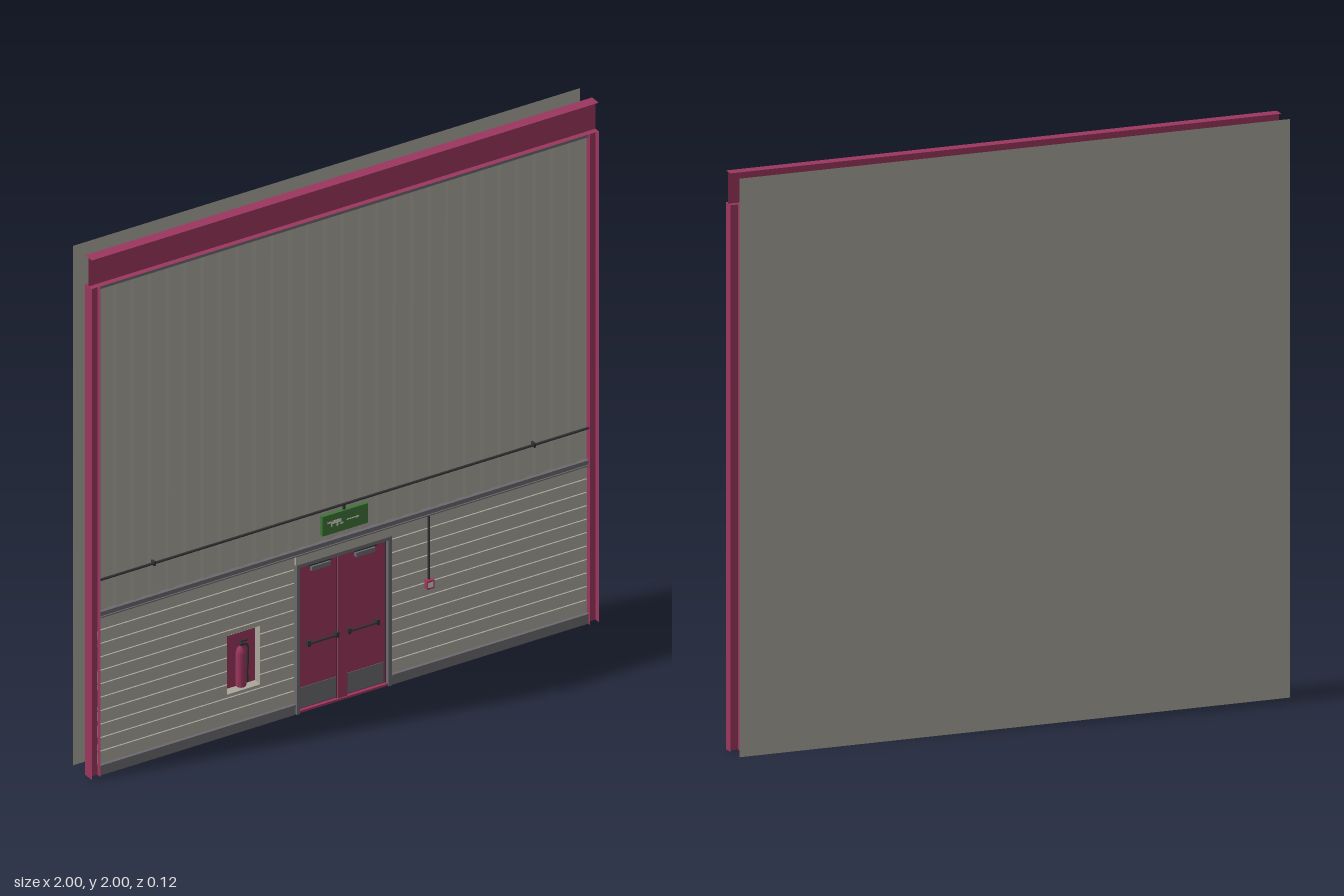
import * as THREE from 'three';

function mat(name, color, double = false) {
  const m = new THREE.MeshStandardMaterial({ color });
  m.name = name;
  if (double) m.side = THREE.DoubleSide;
  return m;
}

export function createModel() {
  const root = new THREE.Group();
  root.name = 'industrialWall';
  const red = mat('crimsonPaint', 0x9c365e, true);
  const beige = mat('beigeCladding', 0xaba79d, true);
  const grey = mat('greyTrim', 0x6b696e);
  const dark = mat('darkMetal', 0x333336);
  const green = mat('signGreen', 0x3f7438);
  const pale = mat('paleMark', 0xd2d0c4);

  const add = (parent, name, geo, material) => {
    const m = new THREE.Mesh(geo, material);
    m.name = name;
    parent.add(m);
    return m;
  };
  // box given by its limits on each axis
  const box = (parent, name, material, x0, x1, y0, y1, z0, z1) => {
    const m = add(parent, name, new THREE.BoxGeometry(x1 - x0, y1 - y0, z1 - z0), material);
    m.position.set((x0 + x1) / 2, (y0 + y1) / 2, (z0 + z1) / 2);
    return m;
  };
  const sheet = (parent, name, material, w, h, pos, rx = 0, ry = 0) => {
    const m = add(parent, name, new THREE.PlaneGeometry(w, h), material);
    m.position.set(...pos);
    m.rotation.set(rx, ry, 0);
    return m;
  };
  const rod = (parent, name, material, r, len, x, y, z, horizontal = false) => {
    const m = add(parent, name, new THREE.CylinderGeometry(r, r, len, 12), material);
    m.position.set(x, y, z);
    if (horizontal) m.rotation.z = Math.PI / 2;
    return m;
  };
  const group = (name) => {
    const g = new THREE.Group();
    g.name = name;
    root.add(g);
    return g;
  };

  // outer skin behind the frame
  sheet(root, 'outerSkin', beige, 2, 2, [0, 1, -0.059]);

  // steel frame: I-section beam and H-section columns of thin sheet
  const frame = group('steelFrame');
  const zc = 0.037, depth = 0.042;
  sheet(frame, 'beamWeb', red, 2, 0.11, [0, 1.945, zc]);
  for (const y of [1.89, 2]) sheet(frame, 'beamFlange', red, 2, depth, [0, y, zc], -Math.PI / 2);
  for (const s of [-1, 1]) {
    sheet(frame, 'columnWeb', red, 0.035, 1.89, [s * 0.9825, 0.945, zc]);
    for (const x of [0.965, 1]) sheet(frame, 'columnFlange', red, depth, 1.89, [s * x, 0.945, zc], 0, Math.PI / 2);
  }

  // corrugated upper cladding
  const ribs = 28;
  const cladding = new THREE.PlaneGeometry(1.93, 1.265, ribs * 8, 1);
  const p = cladding.attributes.position;
  for (let i = 0; i < p.count; i++) p.setZ(i, 0.003 * Math.sin((p.getX(i) / 1.93) * ribs * Math.PI * 2));
  cladding.computeVertexNormals();
  add(root, 'corrugatedCladding', cladding, beige).position.set(0, 1.2525, 0.036);

  // horizontal planks, cut around the door and the niche
  const planks = group('plankCladding');
  const niche = { x0: -0.455, x1: -0.325, y0: 0.155, y1: 0.38 };
  const rows = 11, y0 = 0.04, step = 0.57 / rows;
  const strip = (name, material, x0, x1, a, b, z0, z1) => {
    if (b > a) box(planks, name, material, x0, x1, a, b, z0, z1);
  };
  const spans = [[-0.965, niche.x0], [niche.x1, -0.19], [0.19, 0.965]];
  for (const [a, b] of spans) strip('backing', beige, a, b, 0, 0.61, 0.026, 0.034);
  strip('backing', beige, niche.x0, niche.x1, 0, niche.y0, 0.026, 0.034);
  strip('backing', beige, niche.x0, niche.x1, niche.y1, 0.61, 0.026, 0.034);
  for (let i = 0; i < rows; i++) {
    const a = y0 + i * step, b = a + step - 0.005;
    for (const [l, r] of spans) strip('plank', beige, l, r, a, b, 0.034, 0.04);
    strip('plank', beige, niche.x0, niche.x1, a, Math.min(b, niche.y0), 0.034, 0.04);
    strip('plank', beige, niche.x0, niche.x1, Math.max(a, niche.y1), b, 0.034, 0.04);
  }

  // grey rails and skirting
  box(root, 'topRail', grey, -0.965, 0.965, 1.873, 1.888, 0.028, 0.048);
  box(root, 'middleRail', grey, -0.965, 0.965, 0.61, 0.63, 0.028, 0.05);
  box(root, 'railLip', grey, -0.965, 0.965, 0.61, 0.614, 0.05, 0.055);
  for (const [a, b] of [[-0.965, -0.19], [0.19, 0.965]]) {
    box(root, 'skirting', grey, a, b, 0, 0.036, 0.024, 0.048);
    box(root, 'skirtingLip', grey, a, b, 0.034, 0.04, 0.026, 0.052);
  }

  // pipe across the wall with its clips
  rod(root, 'pipe', dark, 0.0045, 1.93, 0, 0.755, 0.05, true);
  for (const x of [-0.75, 0.75]) box(root, 'pipeClip', dark, x - 0.004, x + 0.004, 0.747, 0.763, 0.036, 0.056);

  // exit sign
  const sign = group('exitSign');
  box(sign, 'signHanger', dark, -0.004, 0.004, 0.73, 0.755, 0.046, 0.052);
  box(sign, 'signBox', green, -0.09, 0.09, 0.66, 0.735, 0.042, 0.058);
  const mark = (a, b, c, d) => box(sign, 'signMark', pale, a, b, c, d, 0.058, 0.0588);
  mark(-0.07, -0.052, 0.702, 0.708);
  mark(-0.056, -0.05, 0.688, 0.706);
  mark(-0.05, -0.015, 0.697, 0.71);
  mark(-0.035, -0.028, 0.685, 0.697);
  mark(-0.018, -0.008, 0.688, 0.694);
  mark(0.005, 0.045, 0.696, 0.7);
  const tip = add(sign, 'arrowTip', new THREE.CylinderGeometry(0.008, 0.008, 0.0008, 3), pale);
  tip.rotation.set(Math.PI / 2, Math.PI / 2, 0);
  tip.position.set(0.048, 0.698, 0.0584);

  // double door
  const door = group('doubleDoor');
  box(door, 'headPanel', beige, -0.19, 0.19, 0.575, 0.61, 0.026, 0.052);
  box(door, 'frameHead', grey, -0.187, 0.187, 0.562, 0.575, 0.018, 0.052);
  box(door, 'threshold', red, -0.175, 0.175, 0, 0.008, 0.02, 0.046);
  box(door, 'mullion', red, -0.018, 0.018, 0.008, 0.562, 0.022, 0.042);
  for (const s of [-1, 1]) {
    const part = (name, m, a, b, c, d, e, f) => box(door, name, m, Math.min(s * a, s * b), Math.max(s * a, s * b), c, d, e, f);
    part('frameJamb', grey, 0.175, 0.187, 0, 0.562, 0.018, 0.052);
    part('doorLeaf', red, 0.021, 0.172, 0.008, 0.56, 0.024, 0.034);
    part('leafGap', dark, 0.018, 0.021, 0.008, 0.562, 0.024, 0.036);
    part('leafGap', dark, 0.172, 0.175, 0.008, 0.562, 0.024, 0.036);
    part('kickPlate', grey, 0.023, 0.165, 0.012, 0.09, 0.034, 0.036);
    part('closer', grey, 0.05, 0.125, 0.533, 0.55, 0.034, 0.048);
    part('closerArm', dark, 0.045, 0.135, 0.552, 0.557, 0.034, 0.044);
    rod(door, 'panicBar', dark, 0.004, 0.115, s * 0.08, 0.257, 0.047, true);
    for (const x of [0.024, 0.136]) part('barMount', dark, x - 0.006, x + 0.006, 0.247, 0.267, 0.034, 0.05);
  }

  // recessed niche
  const recess = group('extinguisherNiche');
  const { x0: nl, x1: nr, y0: nb, y1: nt } = niche;
  box(recess, 'nicheCasing', beige, nl, nr, nb, nt, 0.001, 0.005);
  box(recess, 'nicheBack', red, nl, nr, nb, nt, 0.005, 0.007);
  for (const x of [nl, nr]) sheet(recess, 'nicheSide', beige, 0.037, nt - nb, [x, (nb + nt) / 2, 0.0225], 0, Math.PI / 2);
  for (const y of [nb, nt]) sheet(recess, 'nicheEnd', beige, nr - nl, 0.037, [(nl + nr) / 2, y, 0.0225], -Math.PI / 2);

  // fire extinguisher
  const ext = group('fireExtinguisher');
  const profile = [[0, 0], [0.017, 0], [0.018, 0.004], [0.018, 0.125], [0.014, 0.142], [0.006, 0.15], [0.006, 0.158], [0, 0.158]]
    .map(([x, y]) => new THREE.Vector2(x, y));
  add(ext, 'bottle', new THREE.LatheGeometry(profile, 20), red).position.set(-0.392, 0.165, 0.027);
  box(ext, 'valve', dark, -0.398, -0.382, 0.32, 0.329, 0.021, 0.033);
  box(ext, 'handle', dark, -0.393, -0.368, 0.332, 0.337, 0.024, 0.03);
  const hose = new THREE.CatmullRomCurve3([[-0.385, 0.325], [-0.37, 0.318], [-0.367, 0.27], [-0.371, 0.2]]
    .map(([x, y]) => new THREE.Vector3(x, y, 0.03)));
  add(ext, 'hose', new THREE.TubeGeometry(hose, 16, 0.004, 8), dark);
  rod(ext, 'nozzle', dark, 0.005, 0.03, -0.371, 0.19, 0.03);

  // alarm call point with conduit
  const alarm = group('callPoint');
  rod(alarm, 'conduit', dark, 0.004, 0.252, 0.338, 0.484, 0.045);
  box(alarm, 'callBox', red, 0.324, 0.352, 0.329, 0.361, 0.04, 0.058);
  box(alarm, 'callPlate', pale, 0.329, 0.347, 0.335, 0.355, 0.058, 0.0595);

  return root;
}
